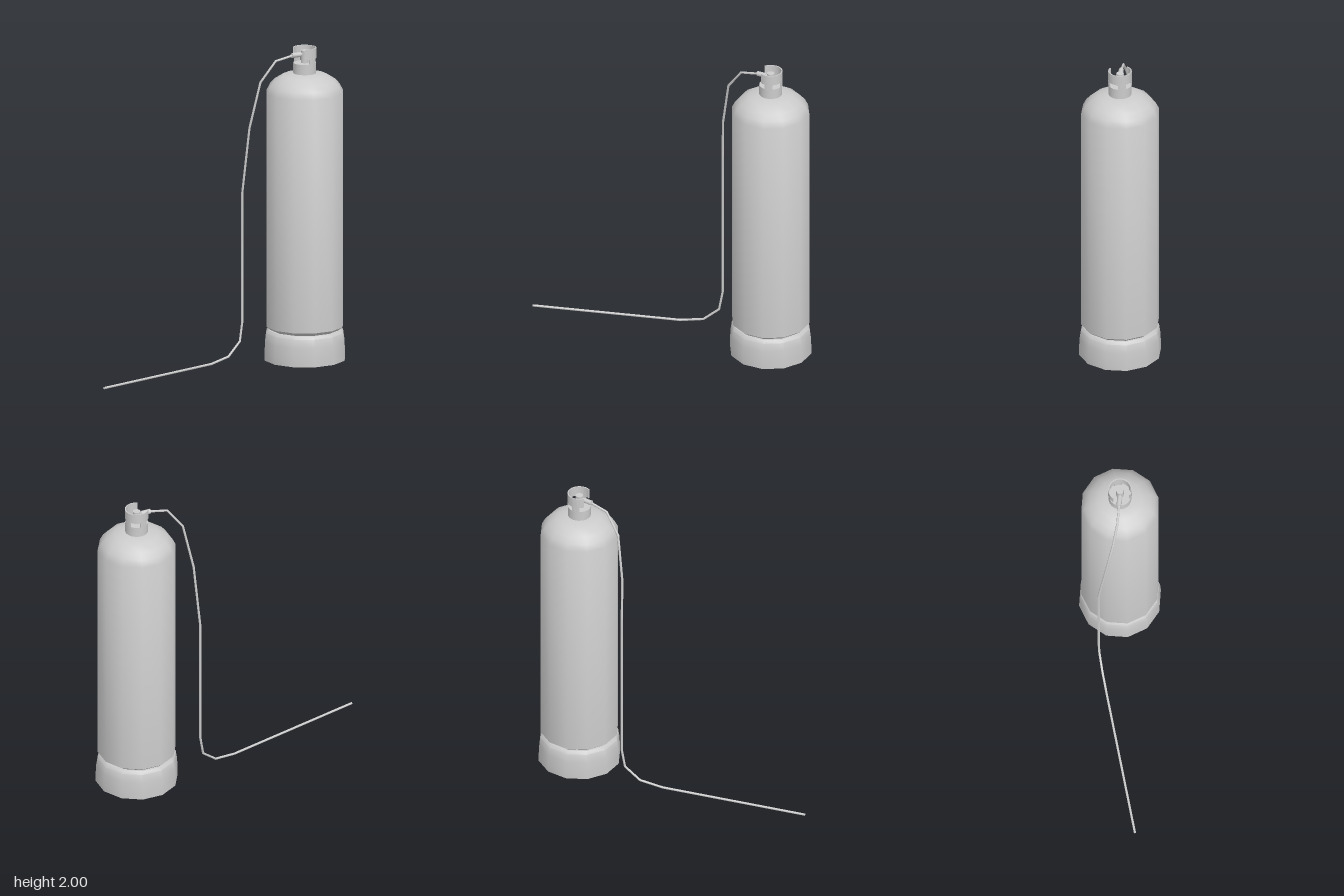
import * as THREE from 'three';
import { toCreasedNormals } from 'three/addons/utils/BufferGeometryUtils.js';

const material = new THREE.MeshStandardMaterial({ color: 0xcccccc });
const CENTER_Z = -0.65;

function add(parent, name, geometry) {
  const mesh = new THREE.Mesh(toCreasedNormals(geometry, 0.7), material);
  mesh.name = name;
  parent.add(mesh);
  return mesh;
}

function lathe(points, sides) {
  return new THREE.LatheGeometry(points.map(([r, y]) => new THREE.Vector2(r, y)), sides);
}

// Upright ring sector between two angles (90 degrees is the back)
function ringSector(from, to, y, height) {
  const a = THREE.MathUtils.degToRad(from), b = THREE.MathUtils.degToRad(to);
  const shape = new THREE.Shape();
  shape.absarc(0, 0, 0.074, a, b, false);
  shape.absarc(0, 0, 0.067, b, a, true);
  const geometry = new THREE.ExtrudeGeometry(shape, { depth: height, bevelEnabled: false, curveSegments: 16 });
  return geometry.rotateX(-Math.PI / 2).translate(0, y, 0);
}

// Path with straight runs and mitred corners, one tube ring per point
class Polyline extends THREE.Curve {
  constructor(points) {
    super();
    this.points = points;
  }
  getPointAt(u, target = new THREE.Vector3()) {
    const n = this.points.length - 1;
    const i = Math.min(Math.floor(u * n + 1e-6), n - 1);
    return target.lerpVectors(this.points[i], this.points[i + 1], u * n - i);
  }
  getTangentAt(u, target = new THREE.Vector3()) {
    const n = this.points.length - 1;
    const i = Math.round(u * n);
    const before = this.points[Math.max(i - 1, 0)], here = this.points[i];
    const after = this.points[Math.min(i + 1, n)];
    const incoming = here.clone().sub(before).normalize();
    return target.subVectors(after, here).normalize().add(incoming).normalize();
  }
}

function rod(from, to, radius, sides) {
  const dir = to.clone().sub(from);
  const geometry = new THREE.CylinderGeometry(radius, radius, dir.length(), sides);
  geometry.applyQuaternion(new THREE.Quaternion().setFromUnitVectors(new THREE.Vector3(0, 1, 0), dir.normalize()));
  const mid = from.clone().add(to).multiplyScalar(0.5);
  return geometry.translate(mid.x, mid.y, mid.z);
}

export function createModel() {
  const model = new THREE.Group();
  model.name = 'gasCylinderWithHose';

  const cylinder = new THREE.Group();
  cylinder.name = 'cylinder';
  cylinder.position.z = CENTER_Z;
  model.add(cylinder);

  // Foot and tank, both twelve-sided
  add(cylinder, 'foot', lathe([
    [0, 0], [0.26, 0], [0.26, 0.05], [0.256, 0.12], [0.248, 0.175], [0.232, 0.193], [0, 0.2],
  ], 12));
  add(cylinder, 'tank', lathe([
    [0, 0.19], [0.215, 0.19], [0.247, 0.215], [0.247, 1.715], [0.225, 1.757],
    [0.195, 1.79], [0.14, 1.825], [0.075, 1.837], [0, 1.837],
  ], 12));

  // Neck and valve
  add(cylinder, 'neck', new THREE.CylinderGeometry(0.072, 0.072, 0.08, 24).translate(0, 1.863, 0));
  add(cylinder, 'valveStem', new THREE.CylinderGeometry(0.024, 0.024, 0.085, 12).translate(0, 1.94, 0));

  // Guard collar: open-fronted rail on three posts
  const collar = new THREE.Group();
  collar.name = 'guardCollar';
  cylinder.add(collar);
  add(collar, 'guardRail', ringSector(-42, 222, 1.935, 0.065));
  for (const angle of [0, 90, 180]) {
    add(collar, 'guardPost', ringSector(angle - 20, angle + 20, 1.9, 0.036));
  }

  // Outlet, leading from the valve to the hose
  const outletEnd = new THREE.Vector3(-0.023, 1.958, -0.56);
  add(model, 'outletPipe', rod(new THREE.Vector3(0, 1.958, CENTER_Z), outletEnd, 0.01, 10));
  add(model, 'outletFitting', rod(new THREE.Vector3(-0.008, 1.958, -0.62), outletEnd, 0.016, 10));

  // Hose: over the shoulder, down the front and out along the ground
  const path = [
    [-0.02, 1.958, -0.57], [-0.055, 1.935, -0.45], [-0.1, 1.805, -0.36], [-0.152, 1.51, -0.315],
    [-0.203, 1.09, -0.302], [-0.203, 0.26, -0.302], [-0.203, 0.135, -0.28],
    [-0.203, 0.053, -0.18], [-0.203, 0.03, -0.03], [-0.203, 0.03, 0.91],
  ].map((p) => new THREE.Vector3(...p));
  add(model, 'hose', new THREE.TubeGeometry(new Polyline(path), path.length - 1, 0.0075, 8, false));
  add(model, 'hoseEnd', new THREE.CircleGeometry(0.0075, 8)).position.copy(path[path.length - 1]);

  return model;
}
